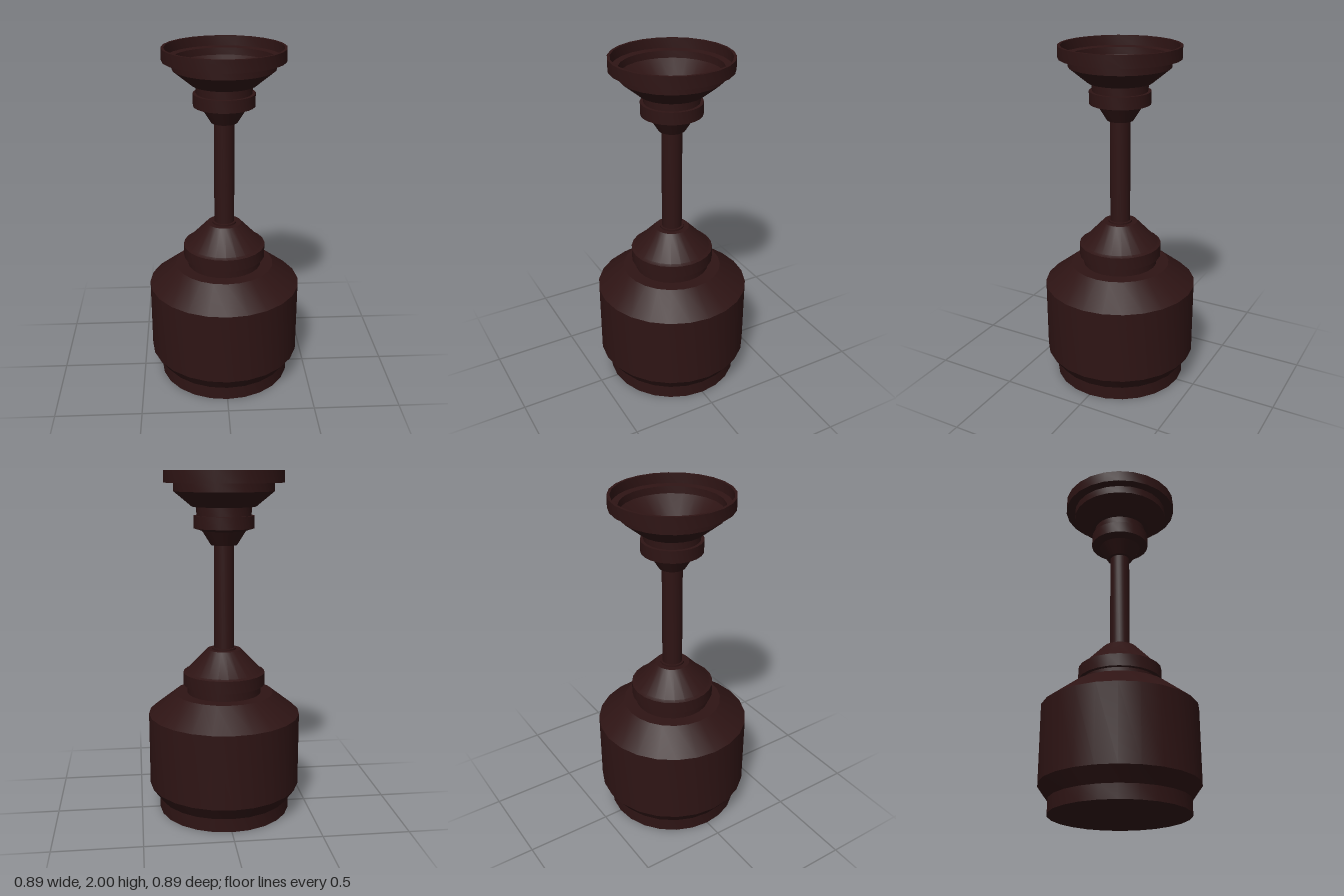
import * as THREE from 'three';
import { toCreasedNormals } from 'three/addons/utils/BufferGeometryUtils.js';

const SIDES = 24;

export function createModel() {
  const model = new THREE.Group();
  model.name = 'ceilingFanMotor';
  const material = new THREE.MeshStandardMaterial({ color: 0x2e1414 });

  // Turned part: [radius, height] pairs, outside going up, inside going down
  function turned(name, profile) {
    const points = profile.map(([r, y]) => new THREE.Vector2(r, y));
    const geometry = toCreasedNormals(new THREE.LatheGeometry(points, SIDES), 0.4);
    const mesh = new THREE.Mesh(geometry, material);
    mesh.name = name;
    model.add(mesh);
  }

  // Drum with a narrower foot and a sloping shoulder
  turned('motorHousing', [
    [0, 0], [0.39, 0], [0.39, 0.08], [0.447, 0.16],
    [0.447, 0.595], [0.29, 0.718], [0.21, 0.718],
  ]);

  // Recessed neck, collar band and cone above the drum
  turned('lowerCoupling', [
    [0.217, 0.71], [0.217, 0.77], [0.24, 0.77], [0.24, 0.842],
    [0.222, 0.85], [0.1, 0.978], [0.07, 0.978], [0.07, 0.988], [0.055, 0.988],
  ]);

  // Hollow rod
  turned('downRod', [
    [0.058, 0.96], [0.058, 1.61], [0.046, 1.61], [0.046, 0.96],
  ]);

  // Stepped ceiling cup, open at the top and hollow inside
  turned('canopy', [
    [0.046, 1.585], [0.075, 1.585], [0.125, 1.665], [0.173, 1.68],
    [0.173, 1.75], [0.155, 1.75], [0.155, 1.8], [0.182, 1.8],
    [0.285, 1.885], [0.285, 1.932], [0.34, 1.932], [0.34, 2],
    [0.325, 2], [0.322, 1.945], [0.286, 1.94], [0.283, 1.9],
    [0.16, 1.8], [0.15, 1.69], [0.08, 1.612], [0.046, 1.612],
  ]);

  return model;
}
